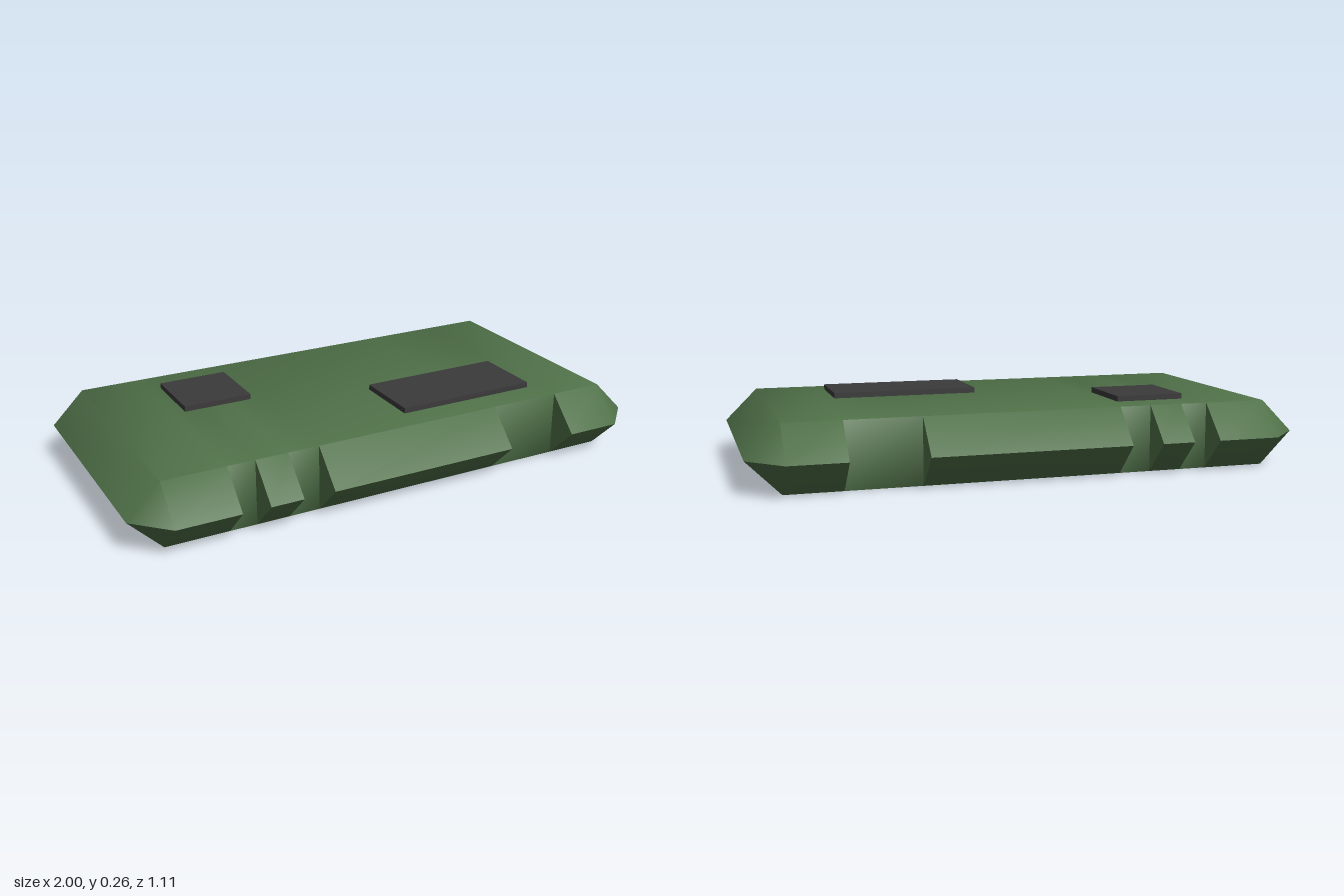
import * as THREE from 'three';
import { toCreasedNormals } from 'three/addons/utils/BufferGeometryUtils.js';

const H = 0.24, MID = 0.12;        // board height and height of its sharp rim
const XI = 0.88, ZI = 0.433;       // flat top and bottom half sizes
const XO = 1, ZO = 0.553;          // rim half sizes

// Break points along the long edges; every entry of NOTCH is a cut-out strip
const XS = [-XI, -0.65, -0.55, -0.43, -0.315, 0.405, 0.675, XI];
const NOTCH = [false, true, false, true, false, true, false];

function boardGeometry() {
  const pos = [];
  // Adds a convex polygon as a fan, turned so that it faces along dir
  const face = (dir, ...pts) => {
    const v = pts.map(p => new THREE.Vector3(...p));
    const n = v[1].clone().sub(v[0]).cross(v[2].clone().sub(v[0]));
    if (n.dot(new THREE.Vector3(...dir)) < 0) v.reverse();
    for (let i = 1; i < v.length - 1; i++) {
      for (const p of [v[0], v[i], v[i + 1]]) pos.push(p.x, p.y, p.z);
    }
  };

  NOTCH.forEach((cut, i) => {
    const a = XS[i], b = XS[i + 1];
    for (const y of [0, H]) {
      const up = y ? 1 : -1;
      // flat strip of the top or bottom
      face([0, up, 0], [a, y, -ZI], [b, y, -ZI], [b, y, ZI], [a, y, ZI]);
      // bevel of the long edges
      if (!cut) for (const s of [-1, 1]) {
        face([0, up, s], [a, y, s * ZI], [b, y, s * ZI], [b, MID, s * ZO], [a, MID, s * ZO]);
      }
    }
    // back wall and triangular cheeks of a notch
    if (cut) for (const s of [-1, 1]) {
      face([0, 0, s], [a, 0, s * ZI], [b, 0, s * ZI], [b, H, s * ZI], [a, H, s * ZI]);
      for (const [x, d] of [[a, 1], [b, -1]]) {
        face([d, 0, 0], [x, 0, s * ZI], [x, MID, s * ZO], [x, H, s * ZI]);
      }
    }
  });

  // bevelled short ends and clipped corners
  for (const sx of [-1, 1]) for (const y of [0, H]) {
    const up = y ? 1 : -1, x = sx * XI, xo = sx * XO;
    face([sx, up, 0], [x, y, -ZI], [x, y, ZI], [xo, MID, ZI], [xo, MID, -ZI]);
    for (const s of [-1, 1]) {
      face([sx, up, s], [x, y, s * ZI], [x, MID, s * ZO], [xo, MID, s * ZI]);
    }
  }

  const g = new THREE.BufferGeometry();
  g.setAttribute('position', new THREE.Float32BufferAttribute(pos, 3));
  return toCreasedNormals(g, THREE.MathUtils.degToRad(50));
}

export function createModel() {
  const group = new THREE.Group();
  group.name = 'circuitBoard';
  const green = new THREE.MeshStandardMaterial({ color: 0x4f7048 });
  const dark = new THREE.MeshStandardMaterial({ color: 0x3c3a3b });

  const board = new THREE.Mesh(boardGeometry(), green);
  board.name = 'board';
  group.add(board);

  // Flat chips on top: x range, z range
  const chip = (name, x0, x1, z0, z1) => {
    const m = new THREE.Mesh(new THREE.BoxGeometry(x1 - x0, 0.03, z1 - z0), dark);
    m.position.set((x0 + x1) / 2, 0.245, (z0 + z1) / 2);
    m.name = name;
    group.add(m);
  };
  chip('smallChip', -0.61, -0.352, -0.313, -0.055);
  chip('largeChip', 0.083, 0.625, 0.07, 0.331);
  return group;
}
